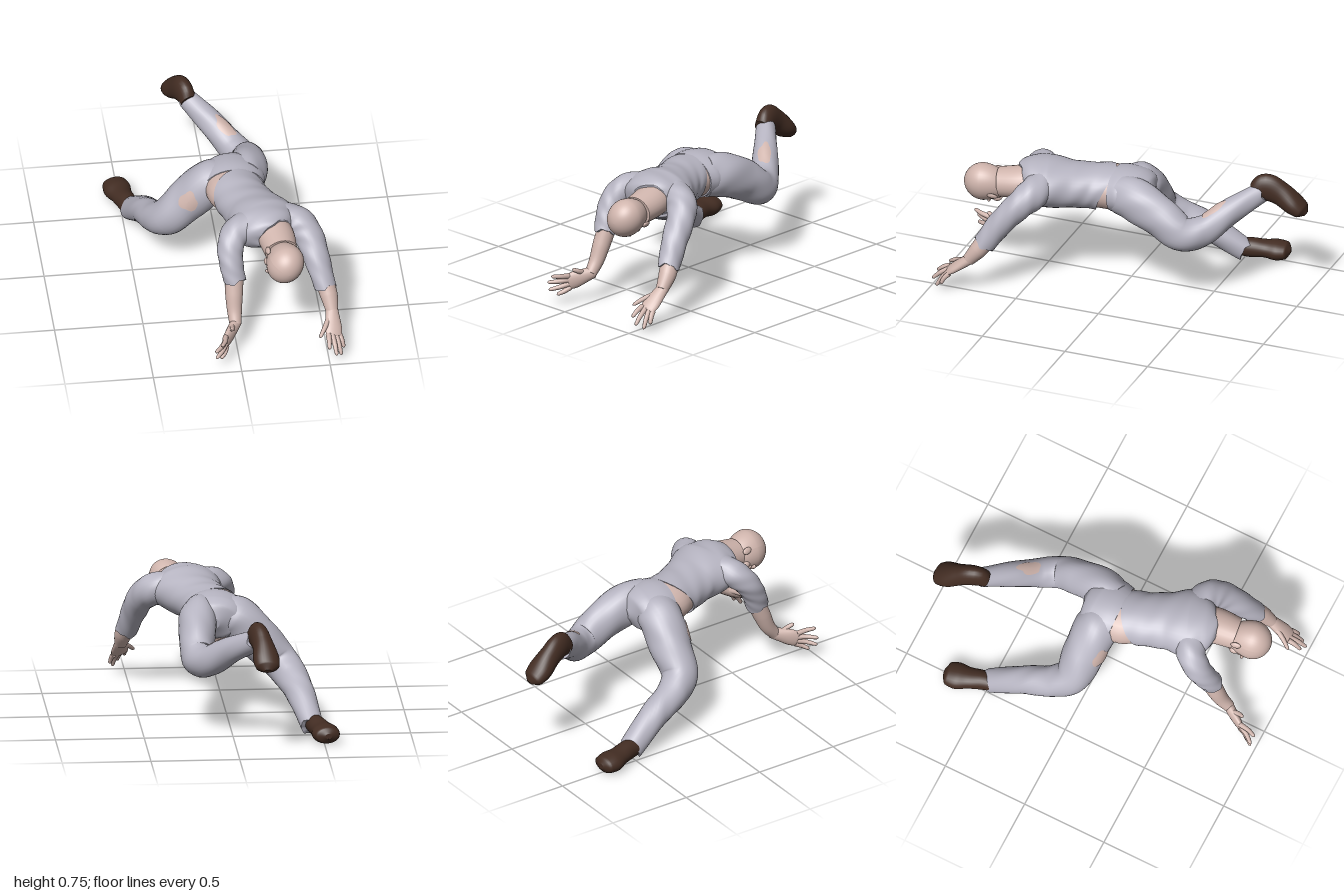
import * as THREE from 'three';

const V = (a) => new THREE.Vector3(a[0], a[1], a[2]);

// Tube surface through stations [x, y, z, rx, ry]; angle 0 points towards ref.
function limb(stations, ref, { wave = 0, hem = 0, fray = 0 } = {}) {
  const path = new THREE.CatmullRomCurve3(stations.map(V));
  const size = new THREE.CatmullRomCurve3(stations.map((s) => new THREE.Vector3(s[3], s[4] ?? s[3], 0)));
  const up = V(ref);
  return (t, a, lift = 0) => {
    const T = path.getTangent(t);
    const R = T.clone().cross(up).normalize();
    const N = R.clone().cross(T);
    const r = size.getPoint(t);
    const w = 1 + wave * Math.sin(3 * a + 17 * t) * Math.sin(11 * t + a);
    const end = (1 - t) ** 6 * hem * (0.5 + 0.5 * Math.cos(a)) ** 2
      + t ** 12 * fray * (Math.sin(3 * a) + 0.5 * Math.sin(7 * a));
    return path.getPoint(t)
      .addScaledVector(N, Math.cos(a) * (r.y * w + lift))
      .addScaledVector(R, Math.sin(a) * (r.x * w + lift))
      .addScaledVector(T, end);
  };
}

// Closed mesh over a limb surface, with flat end caps.
function loft(name, surface, material, rings = 30, sides = 28) {
  const pos = [], index = [];
  const push = (p) => pos.push(p.x, p.y, p.z) / 3 - 1;
  const at = (i, j) => i * sides + (j % sides);
  for (let i = 0; i <= rings; i++)
    for (let j = 0; j < sides; j++) push(surface(i / rings, (j / sides) * Math.PI * 2));
  for (let i = 0; i < rings; i++)
    for (let j = 0; j < sides; j++)
      index.push(at(i, j), at(i, j + 1), at(i + 1, j), at(i, j + 1), at(i + 1, j + 1), at(i + 1, j));
  for (const t of [0, 1]) {
    const ring = Array.from({ length: sides }, (_, j) => surface(t, (j / sides) * Math.PI * 2));
    const centre = ring.reduce((s, p) => s.add(p), new THREE.Vector3()).divideScalar(sides);
    const mid = push(centre);
    const first = ring.map(push)[0];
    for (let j = 0; j < sides; j++) {
      const a = first + j, b = first + ((j + 1) % sides);
      index.push(mid, ...(t ? [a, b] : [b, a]));
    }
  }
  return finish(name, pos, index, material);
}

// Ragged patch lying just above a limb surface.
function patch(name, surface, t0, a0, dt, da, material) {
  const pos = [], index = [], n = 28, m = 5;
  for (let i = 0; i <= m; i++)
    for (let j = 0; j < n; j++) {
      const q = (j / n) * Math.PI * 2;
      const k = (i / m) * (1 + 0.12 * Math.sin(3 * q) + 0.07 * Math.sin(5 * q + 1));
      const p = surface(t0 + dt * k * Math.cos(q), a0 + da * k * Math.sin(q), 0.004);
      pos.push(p.x, p.y, p.z);
    }
  for (let i = 0; i < m; i++)
    for (let j = 0; j < n; j++) {
      const a = i * n + j, b = i * n + ((j + 1) % n);
      index.push(a, b, a + n, b, b + n, a + n);
    }
  return finish(name, pos, index, material);
}

function finish(name, pos, index, material) {
  const g = new THREE.BufferGeometry();
  g.setAttribute('position', new THREE.Float32BufferAttribute(pos, 3));
  g.setIndex(index);
  g.computeVertexNormals();
  const mesh = new THREE.Mesh(g, material);
  mesh.name = name;
  return mesh;
}

// Palm and five fingers; tips run from thumb to little finger.
function hand(name, wrist, knuckle, across, normal, tips, material) {
  const group = new THREE.Group();
  group.name = name;
  const w = V(wrist), k = V(knuckle), a = V(across).normalize();
  const mix = (t) => w.clone().lerp(k, t).toArray();
  group.add(loft('palm', limb([
    [...mix(-0.15), 0.033, 0.03], [...mix(0.3), 0.042, 0.028], [...mix(0.75), 0.05, 0.023],
    [...mix(1.05), 0.044, 0.016], [...mix(1.12), 0.012, 0.006],
  ], normal), material, 16, 18));
  tips.forEach((tip, i) => {
    const base = i === 0 ? w.clone().lerp(k, 0.35).addScaledVector(a, -0.025)
      : k.clone().addScaledVector(a, (i - 2.5) * 0.023);
    const end = V(tip);
    const mid = base.clone().lerp(end, 0.5).addScaledVector(V(normal), 0.006);
    group.add(loft(i ? 'finger' : 'thumb', limb([
      [...base.toArray(), 0.016], [...mid.toArray(), 0.0135],
      [...base.clone().lerp(end, 0.92).toArray(), 0.01], [...tip, 0.003],
    ], normal), material, 12, 10));
  });
  return group;
}

// Bald head: local +y is the crown, local +z the face.
function buildHead(material) {
  const head = new THREE.Group();
  head.name = 'head';
  const g = new THREE.SphereGeometry(1, 40, 32);
  const p = g.attributes.position;
  for (let i = 0; i < p.count; i++) {
    const x = p.getX(i), y = p.getY(i), z = p.getZ(i);
    const low = Math.max(0, -y);
    p.setXYZ(i, x * 0.102 * (1 - 0.15 * low), y * (y > 0 ? 0.112 : 0.165),
      z * 0.115 * (1 - 0.15 * low) + 0.03 * low * low);
  }
  g.computeVertexNormals();
  const add = (name, geometry, pos, scale, tilt = 0) => {
    const mesh = new THREE.Mesh(geometry, material);
    mesh.name = name;
    mesh.position.set(...pos);
    mesh.scale.set(...scale);
    mesh.rotation.x = tilt;
    head.add(mesh);
  };
  const ball = new THREE.SphereGeometry(1, 18, 14);
  add('skull', g, [0, 0, 0], [1, 1, 1]);
  add('nose', ball, [0, -0.06, 0.11], [0.014, 0.034, 0.018], -0.3);
  add('noseTip', ball, [0, -0.078, 0.118], [0.017, 0.013, 0.014]);
  add('lips', ball, [0, -0.108, 0.1], [0.028, 0.011, 0.012]);
  add('chin', ball, [0, -0.14, 0.072], [0.035, 0.025, 0.025]);
  for (const s of [-1, 1]) {
    add('brow', ball, [s * 0.037, -0.022, 0.1], [0.032, 0.012, 0.013]);
    add('eyelid', ball, [s * 0.038, -0.045, 0.092], [0.019, 0.012, 0.012]);
    add('cheek', ball, [s * 0.048, -0.075, 0.072], [0.028, 0.03, 0.024]);
    add('ear', ball, [s * 0.097, -0.07, 0], [0.01, 0.03, 0.019], -0.2);
  }
  const crown = new THREE.Vector3(0.1, -0.06, 1).normalize();
  const side = crown.clone().cross(new THREE.Vector3(-0.5, -0.87, 0)).normalize();
  head.quaternion.setFromRotationMatrix(
    new THREE.Matrix4().makeBasis(side, crown, side.clone().cross(crown)));
  head.position.set(0.271, 0.597, 0.785);
  return head;
}

export function createModel() {
  const mat = (name, color) => Object.assign(new THREE.MeshStandardMaterial({ color }), { name });
  const skin = mat('skin', 0xd0b5ad);
  const cloth = mat('greyCloth', 0xb6b4c1);
  const leather = mat('brownLeather', 0x432d23);
  const model = new THREE.Group();
  model.name = 'crawlingMan';
  const UP = [0, 1, 0];

  // Torso, with bare waist showing between shirt and trousers
  model.add(loft('waist', limb([
    [0.06, 0.6, 0, 0.16, 0.12], [0.068, 0.602, 0.08, 0.163, 0.122], [0.085, 0.604, 0.14, 0.152, 0.12],
    [0.11, 0.605, 0.22, 0.14, 0.11]], UP), skin));
  model.add(loft('shirt', limb([
    [0.095, 0.605, 0.17, 0.158, 0.128], [0.115, 0.607, 0.23, 0.156, 0.126], [0.15, 0.615, 0.32, 0.165, 0.131],
    [0.19, 0.63, 0.44, 0.2, 0.138], [0.22, 0.64, 0.515, 0.17, 0.12], [0.242, 0.632, 0.56, 0.108, 0.098],
  ], UP, { wave: 0.02, hem: -0.105, fray: 0.006 }), cloth, 40, 40));
  model.add(loft('neck', limb([
    [0.21, 0.64, 0.46, 0.1], [0.243, 0.625, 0.565, 0.104, 0.092], [0.26, 0.607, 0.69, 0.092, 0.085]], UP), skin));
  model.add(buildHead(skin));

  // Trousers
  model.add(loft('hips', limb([
    [0.066, 0.6, 0.06, 0.17, 0.128], [0.066, 0.603, 0, 0.182, 0.13], [0.072, 0.597, -0.07, 0.178, 0.126],
    [0.08, 0.59, -0.13, 0.13, 0.1], [0.08, 0.585, -0.165, 0.03, 0.03]], UP), cloth));
  const leftLeg = limb([
    [0.13, 0.6, 0, 0.11, 0.12], [0.165, 0.59, -0.1, 0.112, 0.125], [0.183, 0.525, -0.25, 0.1, 0.118],
    [0.185, 0.445, -0.385, 0.09, 0.102], [0.125, 0.46, -0.485, 0.08, 0.088], [0.02, 0.55, -0.6, 0.07, 0.075],
    [-0.105, 0.635, -0.735, 0.055, 0.06]], UP, { wave: 0.03, fray: 0.008 });
  const rightLeg = limb([
    [0.02, 0.61, -0.02, 0.11], [-0.06, 0.58, -0.03, 0.125], [-0.18, 0.46, -0.045, 0.12],
    [-0.295, 0.335, -0.06, 0.104], [-0.352, 0.27, -0.15, 0.092], [-0.395, 0.205, -0.3, 0.08],
    [-0.447, 0.072, -0.5, 0.064, 0.068]], [0, 0.3, 1], { wave: 0.03, fray: 0.008 });
  model.add(loft('leftTrouserLeg', leftLeg, cloth, 56), loft('rightTrouserLeg', rightLeg, cloth, 56));
  model.add(patch('tornShin', leftLeg, 0.77, -0.05, 0.068, 0.5, skin));
  model.add(patch('tornKnee', leftLeg, 0.53, Math.PI, 0.04, 0.4, skin));
  model.add(patch('tornThigh', rightLeg, 0.29, 0.25, 0.055, 0.45, skin));

  // Shoes
  model.add(loft('leftShoe', limb([
    [-0.1, 0.64, -0.7, 0.045, 0.05], [-0.122, 0.668, -0.765, 0.052, 0.083], [-0.142, 0.637, -0.84, 0.058, 0.07],
    [-0.155, 0.58, -0.915, 0.074, 0.06], [-0.16, 0.545, -0.965, 0.066, 0.045], [-0.16, 0.527, -0.993, 0.02, 0.012],
  ], UP), leather));
  model.add(loft('rightShoe', limb([
    [-0.45, 0.085, -0.46, 0.05], [-0.468, 0.083, -0.54, 0.056, 0.056], [-0.49, 0.08, -0.61, 0.062, 0.05],
    [-0.507, 0.075, -0.675, 0.078, 0.056], [-0.517, 0.076, -0.73, 0.068, 0.046], [-0.52, 0.076, -0.753, 0.02, 0.015],
  ], UP), leather));

  // Sleeves and forearms
  const FWD = [0, 0.6, 0.8];
  model.add(loft('leftSleeve', limb([
    [0.27, 0.65, 0.42, 0.088], [0.375, 0.627, 0.45, 0.09], [0.435, 0.57, 0.51, 0.081], [0.475, 0.46, 0.605, 0.072],
    [0.51, 0.33, 0.69, 0.062]], FWD, { wave: 0.04, fray: 0.009 }), cloth, 40));
  model.add(loft('rightSleeve', limb([
    [0.12, 0.66, 0.47, 0.085], [0.025, 0.645, 0.525, 0.08], [-0.015, 0.585, 0.585, 0.073], [-0.015, 0.5, 0.635, 0.067],
    [0, 0.41, 0.67, 0.064]], FWD, { wave: 0.04, fray: 0.009 }), cloth, 40));
  model.add(loft('leftForearm', limb([
    [0.5, 0.38, 0.66, 0.054], [0.525, 0.3, 0.715, 0.05], [0.537, 0.23, 0.77, 0.036]], FWD), skin));
  model.add(loft('rightForearm', limb([
    [0, 0.46, 0.645, 0.054], [-0.008, 0.34, 0.695, 0.05], [-0.01, 0.25, 0.735, 0.042], [-0.01, 0.19, 0.78, 0.034]],
  FWD), skin));

  // Hands
  model.add(hand('leftHand', [0.537, 0.23, 0.77], [0.535, 0.145, 0.885], [1, -0.3, -0.25], [0.25, 0.78, 0.57], [
    [0.452, 0.155, 0.92], [0.5, 0.11, 0.975], [0.54, 0.075, 0.99], [0.57, 0.05, 0.955], [0.588, 0.075, 0.92]], skin));
  model.add(hand('rightHand', [-0.01, 0.19, 0.78], [-0.075, 0.15, 0.885], [0.1, -1, -0.1], [0.82, 0, 0.57], [
    [-0.045, 0.232, 0.89], [-0.11, 0.2, 0.995], [-0.145, 0.155, 0.99], [-0.14, 0.11, 0.985], [-0.11, 0.08, 0.95]], skin));
  return model;
}
